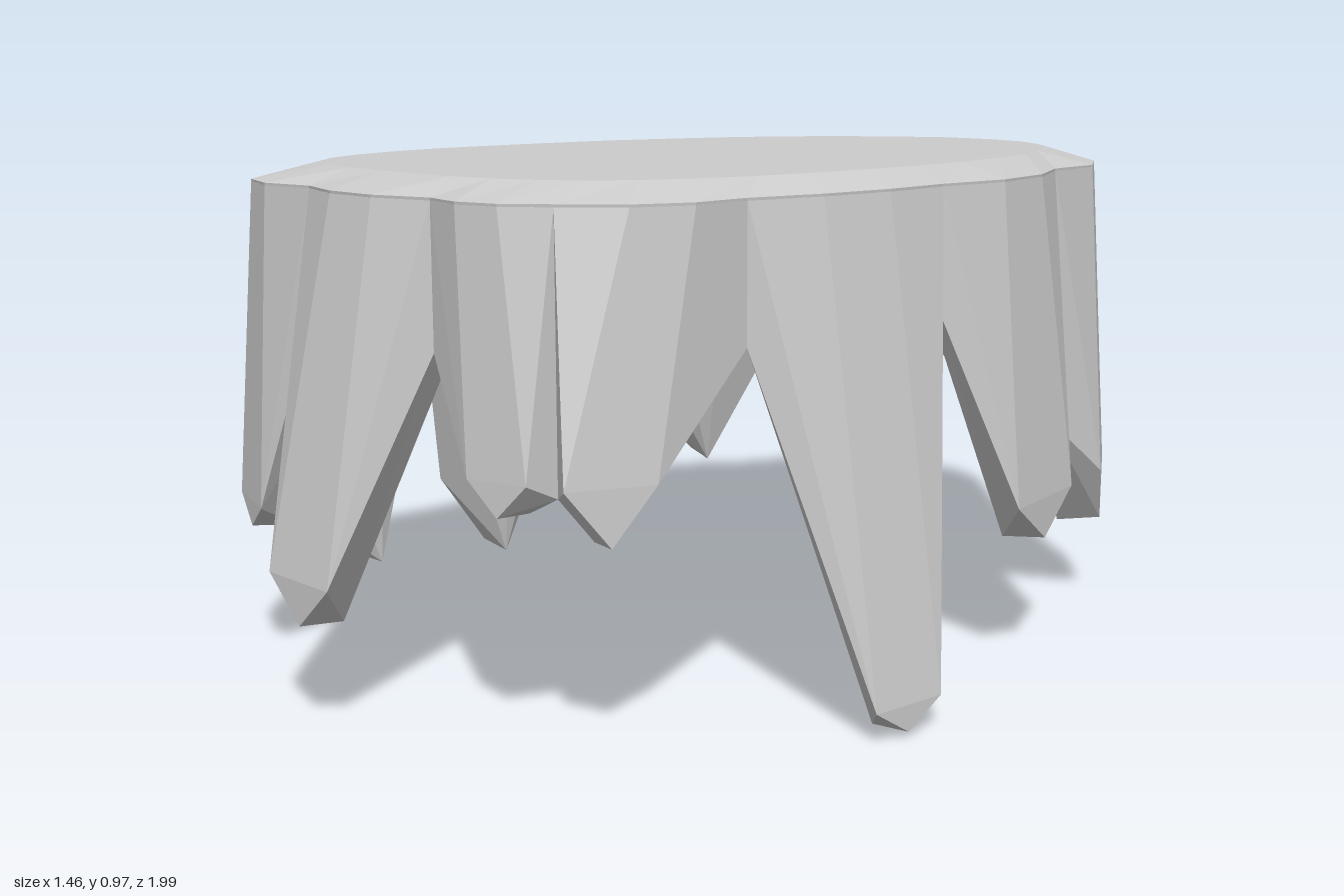
import * as THREE from 'three';
import { ConvexGeometry } from 'three/addons/geometries/ConvexGeometry.js';

// One spike per row, counter-clockwise from the front:
// name, notch where it starts [x, y, z], bulge of the rim, tip [x, y, z], tip half width, shoulder height
const SPIKES = [
  ['frontSpike', [-.18, .72, .83], .035, [0, .2, .99], .09, .08],
  ['frontLeftShortSpike', [.18, .68, .82], .04, [.36, .43, .83], .06, .06],
  ['frontLeftBluntSpike', [.42, .46, .75], .05, [.52, .39, .72], .08, .1],
  ['leftSpike', [.54, .69, .44], .02, [.72, .01, .22], .08, .05],
  ['leftMiddleSpike', [.56, .7, -.03], .045, [.62, .25, -.28], .12, .08],
  ['leftRearSpike', [.45, .43, -.5], .07, [.43, .18, -.72], .075, .12],
  ['backSpike', [.22, .58, -.83], .07, [.03, .22, -.97], .08, .05],
  ['backRightSpike', [-.1, .7, -.96], .07, [-.27, .41, -.91], .1, .04],
  ['rightRearSpike', [-.46, .47, -.6], .05, [-.63, .2, -.49], .08, .08],
  ['rightSpike', [-.58, .66, -.18], .035, [-.73, .05, .07], .115, .16],
  ['frontRightSideSpike', [-.6, .7, .32], .05, [-.59, .13, .52], .08, .08],
  ['frontRightSpike', [-.48, .71, .74], .055, [-.4, .28, .85], .08, .05],
];

const at = (v, y) => new THREE.Vector3(v.x, y, v.z);

// Notches at both ends, tangent and outward normal of the rim stretch above each spike
const SPANS = SPIKES.map(([, notch, bulge], i) => {
  const start = new THREE.Vector3(...notch);
  const end = new THREE.Vector3(...SPIKES[(i + 1) % SPIKES.length][1]);
  const along = at(end.clone().sub(start), 0).normalize();
  const out = new THREE.Vector3(-along.z, 0, along.x);
  const mids = [.33, .67].map((t) => start.clone().lerp(end, t).addScaledVector(out, bulge));
  return { start, end, along, out, mids };
});

// Rim outline: each notch followed by its two bulged points
const RIM = SPANS.flatMap(({ start, mids }) => [start, ...mids]);
const N = RIM.length;

// Scaled copy of the rim at height y, averaged over neighbouring points
function ring(scale, y, smooth = 0) {
  return RIM.map((_, i) => {
    const p = new THREE.Vector3();
    for (let k = -smooth; k <= smooth; k++) p.add(RIM[(i + k + N) % N]);
    return at(p.multiplyScalar(scale / (2 * smooth + 1)), y);
  });
}

// Slab with bevelled top and a recessed underside
function slabGeometry() {
  const rings = [ring(.68, .8, 1), ring(.82, .69, 1), ring(.97, .71), ring(1, .94), ring(.9, .97, 2)];
  const bottom = new THREE.Vector3(0, .8, 0), top = new THREE.Vector3(0, .97, 0);
  const corners = [];
  for (let i = 0; i < N; i++) {
    const j = (i + 1) % N;
    for (let r = 0; r < rings.length - 1; r++) {
      const lo = rings[r], hi = rings[r + 1];
      corners.push(lo[i], lo[j], hi[j], lo[i], hi[j], hi[i]);
    }
    corners.push(bottom, rings[0][j], rings[0][i], top, rings[4][i], rings[4][j]);
  }
  const geometry = new THREE.BufferGeometry().setFromPoints(corners);
  geometry.computeVertexNormals();
  return geometry;
}

// Faceted spike below one rim stretch, with a blunt tip and a flat inner face
function spikeGeometry({ start, end, along, out, mids }, tipAt, width, rise) {
  const tip = new THREE.Vector3(...tipAt);
  const shoulder = (side) => at(tip.clone().addScaledVector(along, side * width), tip.y + rise);
  const back = at(tip.clone().addScaledVector(out, -.09), tip.y - .01);
  const inner = [.28, .72].map((t) => at(start.clone().lerp(end, t).multiplyScalar(.84), .68));
  return new ConvexGeometry([
    ...[start, ...mids, end].map((p) => at(p, .935)),
    start, end, shoulder(-1), shoulder(1), tip, back, ...inner,
  ]);
}

export function createModel() {
  const group = new THREE.Group();
  group.name = 'rockPlatform';
  const rock = new THREE.MeshStandardMaterial({ color: 0xcccccc, flatShading: true });
  const add = (name, geometry) => {
    const mesh = new THREE.Mesh(geometry, rock);
    mesh.name = name;
    group.add(mesh);
  };
  add('slab', slabGeometry());
  SPIKES.forEach(([name, , , tip, width, rise], i) => add(name, spikeGeometry(SPANS[i], tip, width, rise)));
  return group;
}
